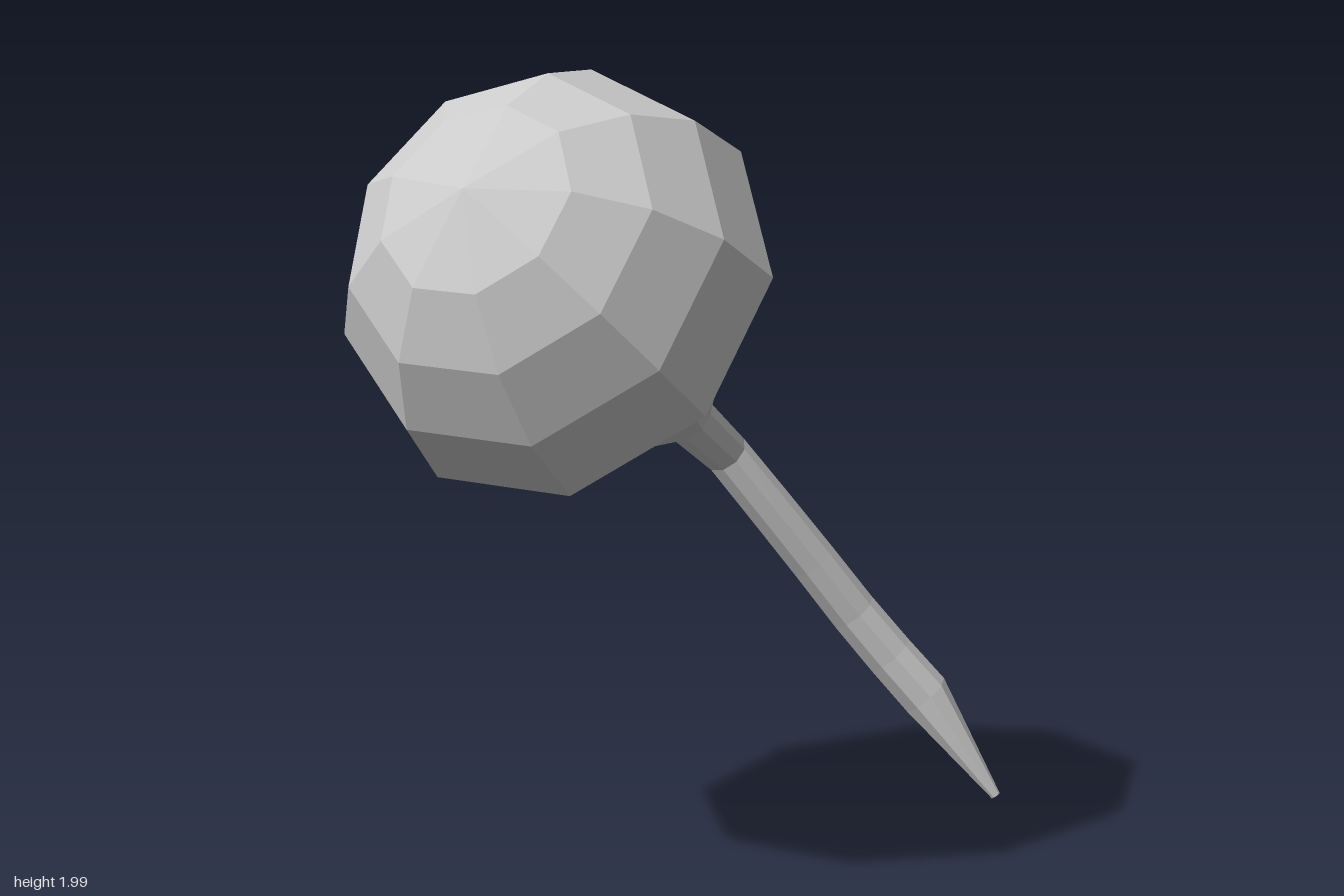
import * as THREE from 'three';

const SIDES = 9;
const V = (x, y, z) => new THREE.Vector3(x, y, z);
const centre = V(0, 1.48, 0.4); // middle of the bulb
const axis = V(0.253, 0.558, 0.79).normalize(); // towards the bulb's nose
const start = V(0.26, 0.33, -0.306); // direction of the first facet corner

// Ring on the straight bulb axis, s units in front of the centre
const axial = (s, r) => ({ p: centre.clone().addScaledVector(axis, s), r, n: axis });

// Skin a row of 9-sided rings, each with centre p, radius r and normal n
function loft(name, rings, material) {
  const pos = [], index = [];
  const u = start.clone();
  rings.forEach(({ p, r, n }, i) => {
    u.addScaledVector(n, -u.dot(n)).normalize(); // carry the frame along without twist
    const w = n.clone().cross(u);
    for (let j = 0; j < SIDES; j++) {
      const t = (j / SIDES) * Math.PI * 2;
      const q = p.clone().addScaledVector(u, r * Math.cos(t)).addScaledVector(w, r * Math.sin(t));
      pos.push(q.x, q.y, q.z);
      if (i === 0) continue;
      const k = (j + 1) % SIDES, a = (i - 1) * SIDES, c = i * SIDES;
      if (rings[i - 1].r > 0) index.push(a + j, c + j, a + k);
      if (r > 0) index.push(a + k, c + j, c + k);
    }
  });
  const indexed = new THREE.BufferGeometry();
  indexed.setAttribute('position', new THREE.Float32BufferAttribute(pos, 3));
  indexed.setIndex(index);
  const geometry = indexed.toNonIndexed();
  geometry.computeVertexNormals();
  const mesh = new THREE.Mesh(geometry, material);
  mesh.name = name;
  return mesh;
}

export function createModel() {
  const group = new THREE.Group();
  group.name = 'bulbWithTail';
  const material = new THREE.MeshStandardMaterial({ color: 0xcccccc, flatShading: true });

  // Faceted half-sphere bulb, closing in behind to the neck
  const R = 0.52;
  const bulb = [90, 63, 43, 22, 0].map((deg) => {
    const t = THREE.MathUtils.degToRad(deg);
    return axial(R * Math.sin(t), deg === 90 ? 0 : R * Math.cos(t));
  });
  bulb.push(axial(-0.25, 0.255));

  // Tail path: a bowed stem, then a straight pointed tip
  const stem = new THREE.CatmullRomCurve3([
    V(-0.255, 0.95, -0.37), V(-0.155, 0.695, -0.545), V(-0.055, 0.455, -0.7), V(0.055, 0.27, -0.815),
  ]);
  const tip = V(0.235, 0.008, -0.905);
  const tail = stem.getPoints(5).map((p, i) => ({
    p, r: 0.06 + 0.0016 * i, n: stem.getTangent(i / 5).negate(),
  }));
  tail[0].n.add(axis).normalize(); // mitre at the bend

  // Neck tapering down to the bend
  const neck = [axial(-0.25, 0.255), axial(-0.47, 0.19), axial(-0.7, 0.068), tail[0]];

  // Pointed tip, closed at its end
  const end = tail[tail.length - 1];
  const n = end.p.clone().sub(tip).normalize();
  const point = [end, { p: tip, r: 0.013, n }, { p: tip, r: 0, n }];

  group.add(loft('bulb', bulb, material));
  group.add(loft('neck', neck, material));
  // Stem and tip share one skin so their facets stay aligned with the neck
  group.add(loft('tail', [...tail, ...point.slice(1)], material));
  return group;
}
